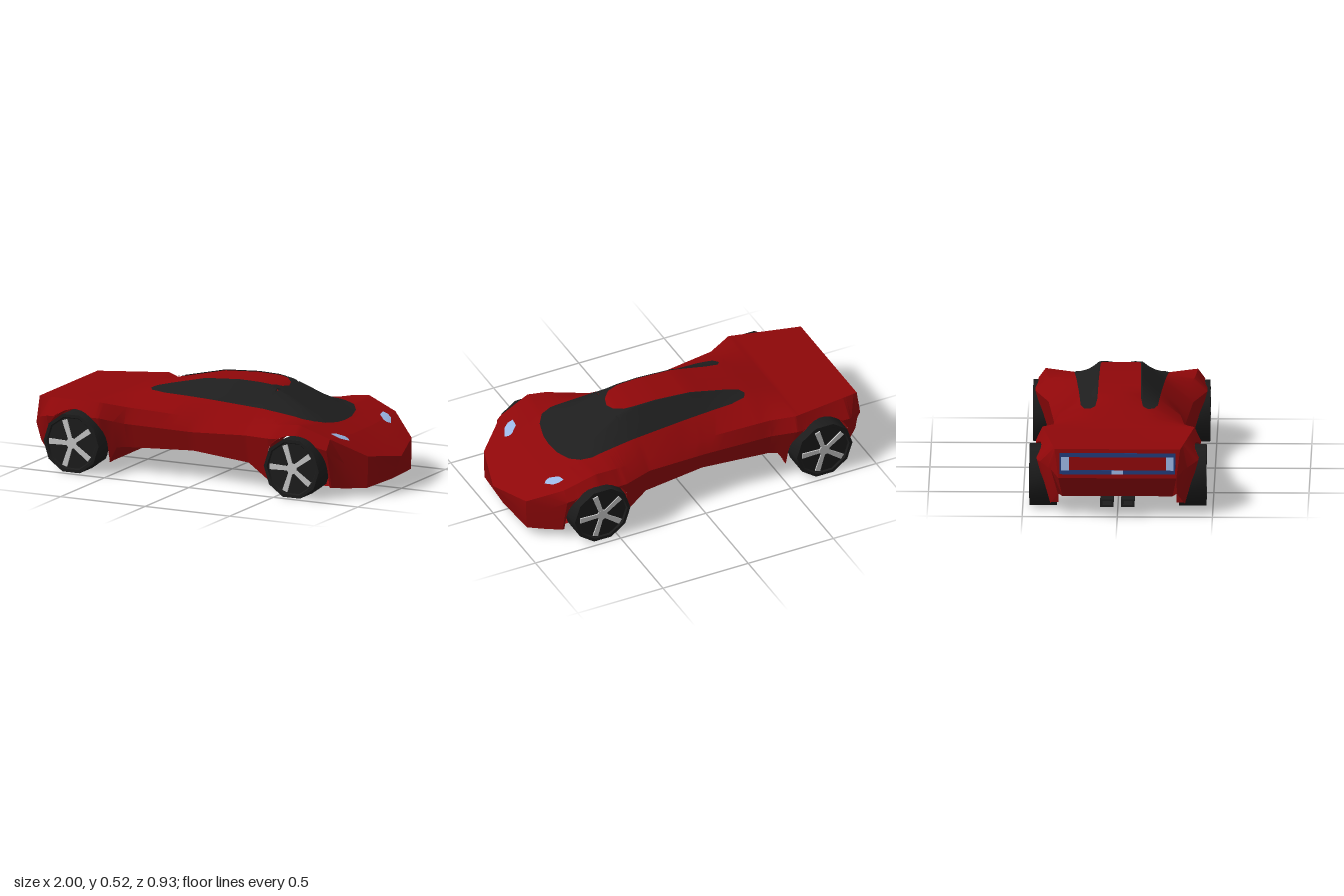
import * as THREE from 'three';
import { toCreasedNormals } from 'three/addons/utils/BufferGeometryUtils.js';

const paint = (name, color) => {
  const m = new THREE.MeshStandardMaterial({ color, side: THREE.DoubleSide });
  m.name = name;
  return m;
};

// Linear interpolation in a table of [x, value]
function lerpTable(table, x) {
  let i = 1;
  while (i < table.length - 1 && x > table[i][0]) i++;
  const [x0, a] = table[i - 1], [x1, b] = table[i];
  const t = THREE.MathUtils.clamp((x - x0) / (x1 - x0), 0, 1);
  return a + (b - a) * t;
}

// Surface through a grid of [x, y, z] points
function gridGeometry(rows, crease = 0.55) {
  const n = rows[0].length, index = [];
  for (let r = 0; r < rows.length - 1; r++)
    for (let c = 0; c < n - 1; c++) {
      const a = r * n + c, b = a + 1, d = a + n, e = d + 1;
      index.push(a, b, d, b, e, d);
    }
  const g = new THREE.BufferGeometry();
  g.setAttribute('position', new THREE.Float32BufferAttribute(rows.flat(2), 3));
  g.setIndex(index);
  return toCreasedNormals(g, crease);
}

// Lines running along the body: roof centre, roof edge, belt, shoulder, flank
const centreY = [[-.97, .36], [-.6, .375], [-.4, .428], [-.1, .497], [.1, .51], [.22, .507], [.3, .494], [.4, .452], [.56, .38], [.67, .331], [.77, .294], [.93, .212], [1, .175]];
const roofZ = [[-.97, .12], [-.4, .12], [.3, .112], [.5, .14], [.77, .12], [.93, .08], [1, 0]];
const beltZ = [[-.97, .2], [-.4, .205], [0, .215], [.4, .236], [.6, .25], [.77, .22], [.93, .16], [1, 0]];
const beltY = [[-.97, .36], [-.6, .376], [-.4, .415], [0, .412], [.3, .4], [.4, .389], [.5, .378], [.6, .36], [.67, .338], [.77, .302], [.93, .214], [1, .175]];
const shoulderZ = [[-.97, .33], [-.58, .4], [-.45, .345], [0, .3], [.27, .335], [.5, .39], [.6, .4], [.77, .375], [.93, .25], [1, 0]];
const shoulderY = [[-.97, .36], [-.58, .378], [-.45, .355], [0, .33], [.27, .325], [.5, .37], [.6, .38], [.77, .315], [.93, .215], [1, .175]];
const flankZ = [[-.97, .35], [-.88, .425], [-.57, .435], [-.45, .37], [-.07, .345], [.27, .38], [.44, .452], [.6, .455], [.77, .415]];
const flankY = [[-.97, .25], [-.88, .28], [-.57, .3], [-.45, .27], [-.07, .26], [.27, .285], [.44, .3], [.6, .305], [.77, .26]];
const sillY = [[-.97, .12], [-.95, .1], [-.89, .045], [-.545, .05], [-.5, .135], [-.07, .155], [.27, .13], [.414, .05], [.77, .05]];
const glassOuter = [[-.4, .155], [-.38, .185], [-.3, .203], [0, .217], [.4, .24], [.54, .25], [.6, .23], [.64, .175], [.665, .08], [.67, 0]];
const glassInner = [[-.4, .15], [-.38, .125], [-.3, .115], [.22, .105], [.28, .09], [.32, .05], [.335, 0], [.67, 0]];
const wheelX = [-.715, .588], archR = .172, archY = .156;

const topLine = x => [
  [0, lerpTable(centreY, x)],
  [lerpTable(roofZ, x), lerpTable(centreY, x)],
  [lerpTable(beltZ, x), lerpTable(beltY, x)],
  [lerpTable(shoulderZ, x), lerpTable(shoulderY, x)]
];
const topY = (x, z) => lerpTable(topLine(x), Math.abs(z));

// Width of the side at a height: tucked in below the flank, leaning to the shoulder above
function sideZ(x, y) {
  const fy = lerpTable(flankY, x), fz = lerpTable(flankZ, x);
  if (y < fy) return fz - (fy - y) * .28;
  return lerpTable([[fy, fz], [lerpTable(shoulderY, x), lerpTable(shoulderZ, x)]], y);
}

// Flank and lower edge, cut by the wheel arches
function sideLine(x) {
  let y = lerpTable(sillY, x);
  for (const cx of wheelX) {
    const d = Math.abs(x - cx);
    if (d <= archR) y = archY + Math.sqrt(archR * archR - d * d);
  }
  const fy = Math.max(lerpTable(flankY, x), y + .006);
  return [[sideZ(x, fy), fy], [sideZ(x, y), y]];
}

// Stations along x, denser over the arches
function stations() {
  const xs = [];
  for (const t of [centreY, shoulderZ, shoulderY, flankZ, sillY, glassOuter, glassInner]) xs.push(...t.map(p => p[0]));
  for (let x = -.95; x < 1; x += .05) xs.push(x);
  for (const cx of wheelX) {
    for (let i = 0; i <= 16; i++) xs.push(cx - archR * Math.cos(i / 16 * Math.PI) * .99999);
    xs.push(cx - archR - .0008, cx + archR + .0008);
  }
  xs.sort((a, b) => a - b);
  return xs.filter((x, i) => i === 0 || x - xs[i - 1] > 1e-4);
}

// Full-width row from a half section listed from the centre outwards
const mirrorRow = (x, half) => [
  ...half.slice(1).reverse().map(([z, y]) => [x, y, -z]),
  ...half.map(([z, y]) => [x, y, z])
];
const flip = ([x, y, z]) => [x, y, -z];

export function createModel() {
  const car = new THREE.Group();
  car.name = 'sportsCar';
  const red = paint('red bodywork', 0x8e0709);
  const glass = paint('dark glass', 0x1e1e1e);
  const rubber = paint('black rubber', 0x1c1c1c);
  const metal = paint('grey alloy', 0xc4c4c4);
  const lamp = paint('pale blue lamp', 0x9ab6e4);
  const blue = paint('navy trim', 0x213a78);
  const add = (parent, name, geo, mat) => {
    const m = new THREE.Mesh(geo, mat);
    m.name = name;
    parent.add(m);
    return m;
  };

  // Body shell and hood
  const xs = stations(), noseX = .77;
  add(car, 'bodyShell', gridGeometry(xs.filter(x => x <= noseX).map(x => mirrorRow(x, [...topLine(x), ...sideLine(x)]))), red);
  add(car, 'hood', gridGeometry(xs.filter(x => x >= noseX).map(x => mirrorRow(x, topLine(x)))), red);

  // Wheel arch linings, running inwards from the cut edge
  for (const cx of wheelX)
    for (const side of [-1, 1]) {
      const arc = Array.from({ length: 19 }, (_, i) => {
        const a = Math.PI * (1 - (i - 1) / 16);
        if (i === 0 || i === 18) return [cx + (i ? archR : -archR), .05];
        return [cx + archR * Math.cos(a), archY + archR * Math.sin(a)];
      });
      add(car, 'archLining', gridGeometry(arc.map(([x, y]) => [[x, y, side * sideZ(x, y)], [x, y, side * .31]])), red);
    }

  // Front bumper and floor under the nose
  const end = x => [topLine(x)[3], ...sideLine(x)].map(([z, y]) => [x, y, z]);
  const front = end(noseX);
  const bumperMid = [[1, .175, 0], [.97, .11, 0], [.94, .045, 0]];
  const bumperCorner = [[.93, .215, .25], [.93, .13, .25], [.925, .045, .25]];
  const bumperSide = [[.85, .265, .3125], [.83, .18, .325], [.83, .045, .315]];
  add(car, 'frontBumper', gridGeometry([0, 1, 2].map(i => [
    flip(front[i]), flip(bumperSide[i]), flip(bumperCorner[i]), bumperMid[i],
    bumperCorner[i], bumperSide[i], front[i]])), red);
  const floorRow = (x, y, z, bow = 0) => [[x, y, -z], [x + bow, y, 0], [x, y, z]];
  add(car, 'frontFloor', gridGeometry([
    floorRow(.925, .045, .25, .015), floorRow(.83, .045, .315), floorRow(.77, .045, .31),
    floorRow(.44, .047, .31), floorRow(.414, .05, .37)
  ]), red);

  // Sloping bulkhead ahead of the rear wheels
  add(car, 'rearBulkhead', gridGeometry([
    floorRow(-.5, .135, sideZ(-.5, .135)), floorRow(-.547, .05, sideZ(-.547, .05))
  ]), red);

  // Rear panel
  const back = end(-.97);
  const tail = [[-.97, .36, .33], [-1, .21, .31], [-.95, .1, .29]];
  add(car, 'rearPanel', gridGeometry([2, 1, 0].map(i =>
    [flip(back[i]), flip(tail[i]), tail[i], back[i]]), .3), red);

  // Windscreen and side windows, laid on the outside and lining the inside
  const gx = xs.filter(x => x >= -.4 && x <= .67);
  for (const side of [-1, 1])
    for (const off of [.005, -.004])
      add(car, off > 0 ? 'window' : 'windowLining', gridGeometry(gx.map(x => {
        const a = lerpTable(glassInner, x), b = lerpTable(glassOuter, x);
        return Array.from({ length: 19 }, (_, i) => {
          const t = i / 18, z = side > 0 ? a + (b - a) * t : -b + (b - a) * t;
          return [x, topY(x, z) + off, z];
        });
      })), glass);

  // Headlights
  const lampOutline = [[.735, .3], [.765, .3], [.79, .285], [.815, .235], [.8, .22], [.78, .22], [.74, .255]];
  for (const side of [-1, 1]) {
    const ring = [...lampOutline, lampOutline[0]].map(([x, z]) => [x, topY(x, z) + .005, z * side]);
    const centre = ring.map(() => [.775, topY(.775, .26) + .006, .26 * side]);
    add(car, 'headlight', gridGeometry(side > 0 ? [ring, centre] : [centre, ring]), lamp);
  }

  // Tail trim frame and lamps
  const trim = new THREE.Group();
  trim.name = 'tailTrim';
  trim.position.set(-.985, .285, 0);
  trim.rotation.z = -.197;
  car.add(trim);
  const plate = (name, y, z, h, w, mat, t = .004) =>
    add(trim, name, new THREE.BoxGeometry(t, h, w), mat).position.set(-t / 2, y, z);
  plate('upperTrim', .045, 0, .022, .6, blue);
  plate('lowerTrim', -.045, 0, .022, .58, blue);
  plate('centreLamp', -.045, 0, .02, .06, lamp, .007);
  for (const side of [-1, 1]) {
    plate('sideTrim', 0, side * .297, .11, .015, blue);
    plate('tailLamp', 0, side * .275, .07, .04, lamp, .007);
  }

  // Square exhaust pipes
  const square = (path, w, h) => path.moveTo(-w, -h).lineTo(w, -h).lineTo(w, h).lineTo(-w, h).closePath();
  const pipe = new THREE.Shape();
  square(pipe, .035, .02);
  const bore = new THREE.Path();
  square(bore, .024, .011);
  pipe.holes.push(bore);
  for (const side of [-1, 1]) {
    const m = add(car, 'exhaustPipe', new THREE.ExtrudeGeometry(pipe, { depth: .45, bevelEnabled: false }), rubber);
    m.rotation.y = Math.PI / 2;
    m.position.set(-1, .075, side * .055);
  }

  // Wheels with five spokes
  const profile = [[0, .32], [.163, .32], [.163, .465], [.146, .465], [.14, .456], [0, .456]].map(p => new THREE.Vector2(...p));
  const tyre = toCreasedNormals(new THREE.LatheGeometry(profile, 10, Math.PI / 10).rotateX(Math.PI / 2), .7);
  const spoke = new THREE.Shape([[.015, -.011], [.13, -.015], [.13, .015], [.015, .011]].map(p => new THREE.Vector2(...p)));
  const spokeGeo = new THREE.ExtrudeGeometry(spoke, { depth: .007, bevelEnabled: false });
  const hubGeo = new THREE.CylinderGeometry(.03, .03, .008, 10).rotateX(Math.PI / 2);
  for (const x of wheelX)
    for (const side of [-1, 1]) {
      const wheel = new THREE.Group();
      wheel.name = x > 0 ? 'frontWheel' : 'rearWheel';
      wheel.position.set(x, .155, 0);
      if (side < 0) wheel.rotation.y = Math.PI;
      add(wheel, 'tyre', tyre, rubber);
      add(wheel, 'hub', hubGeo, metal).position.z = .46;
      for (let i = 0; i < 5; i++) {
        const s = add(wheel, 'spoke', spokeGeo, metal);
        s.position.z = .456;
        s.rotation.z = (i + .5) * Math.PI * .4;
      }
      car.add(wheel);
    }
  return car;
}
